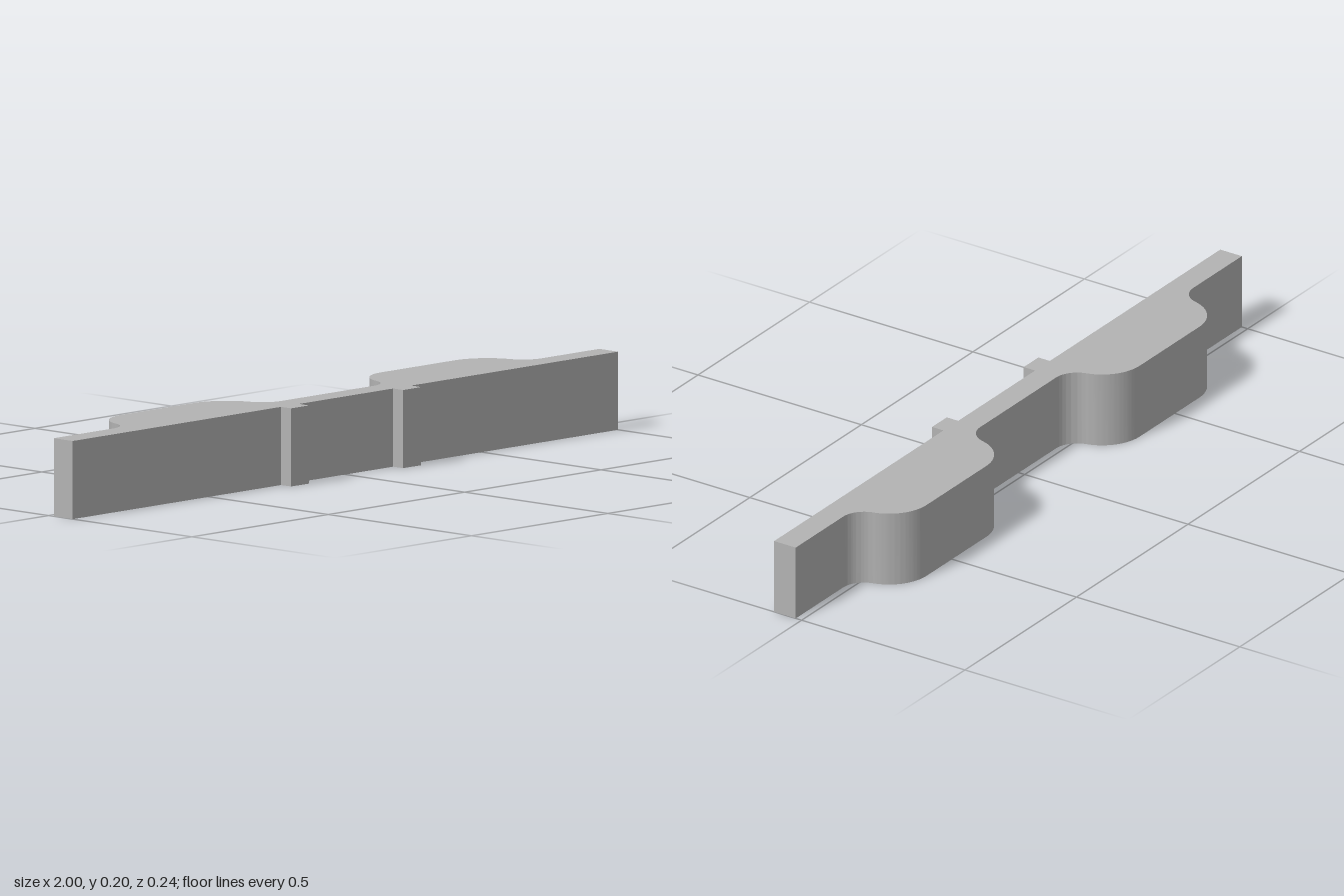
import * as THREE from 'three';
import { toCreasedNormals } from 'three/addons/utils/BufferGeometryUtils.js';

const FRONT = 0.084, BACK = 0.018, REAR = 0.119, TAB = 0.119, HEIGHT = 0.2;

// Back edge of one swelling, drawn from +x to -x: fillet, shoulder, flat, shoulder, fillet
function addSwelling(shape, cx) {
  const R = 0.115, r = 0.065, half = 0.245, q = Math.PI / 2;
  const a = Math.acos(1 - (REAR + BACK) / (R + r));
  const out = half + r * Math.sin(a), inn = half - R * Math.sin(a);
  shape.absarc(cx + out, r - BACK, r, -q, -q - a, true);
  shape.absarc(cx + inn, REAR - R, R, q - a, q, false);
  shape.absarc(cx - inn, REAR - R, R, q, q + a, false);
  shape.absarc(cx - out, r - BACK, r, -q + a, -q, true);
}

export function createModel() {
  const grey = new THREE.MeshStandardMaterial({ color: 0xb3b3b3 });
  grey.name = 'light grey';

  // Plan outline of the bar (shape y is -z)
  const s = new THREE.Shape();
  s.moveTo(-1, -FRONT);
  for (const x of [-0.203, 0.208]) { // front tabs
    s.lineTo(x - 0.033, -FRONT);
    s.lineTo(x - 0.033, -TAB);
    s.lineTo(x + 0.033, -TAB);
    s.lineTo(x + 0.033, -FRONT);
  }
  s.lineTo(1, -FRONT);
  s.lineTo(1, -BACK);
  addSwelling(s, 0.48);
  addSwelling(s, -0.475);
  s.lineTo(-1, -BACK);
  s.closePath();

  const geo = new THREE.ExtrudeGeometry(s, { depth: HEIGHT, bevelEnabled: false, curveSegments: 16 });
  geo.rotateX(-Math.PI / 2);
  const bar = new THREE.Mesh(toCreasedNormals(geo, 0.5), grey);
  bar.name = 'contouredBar';

  const group = new THREE.Group();
  group.name = 'doubleSwellBar';
  group.add(bar);
  return group;
}
